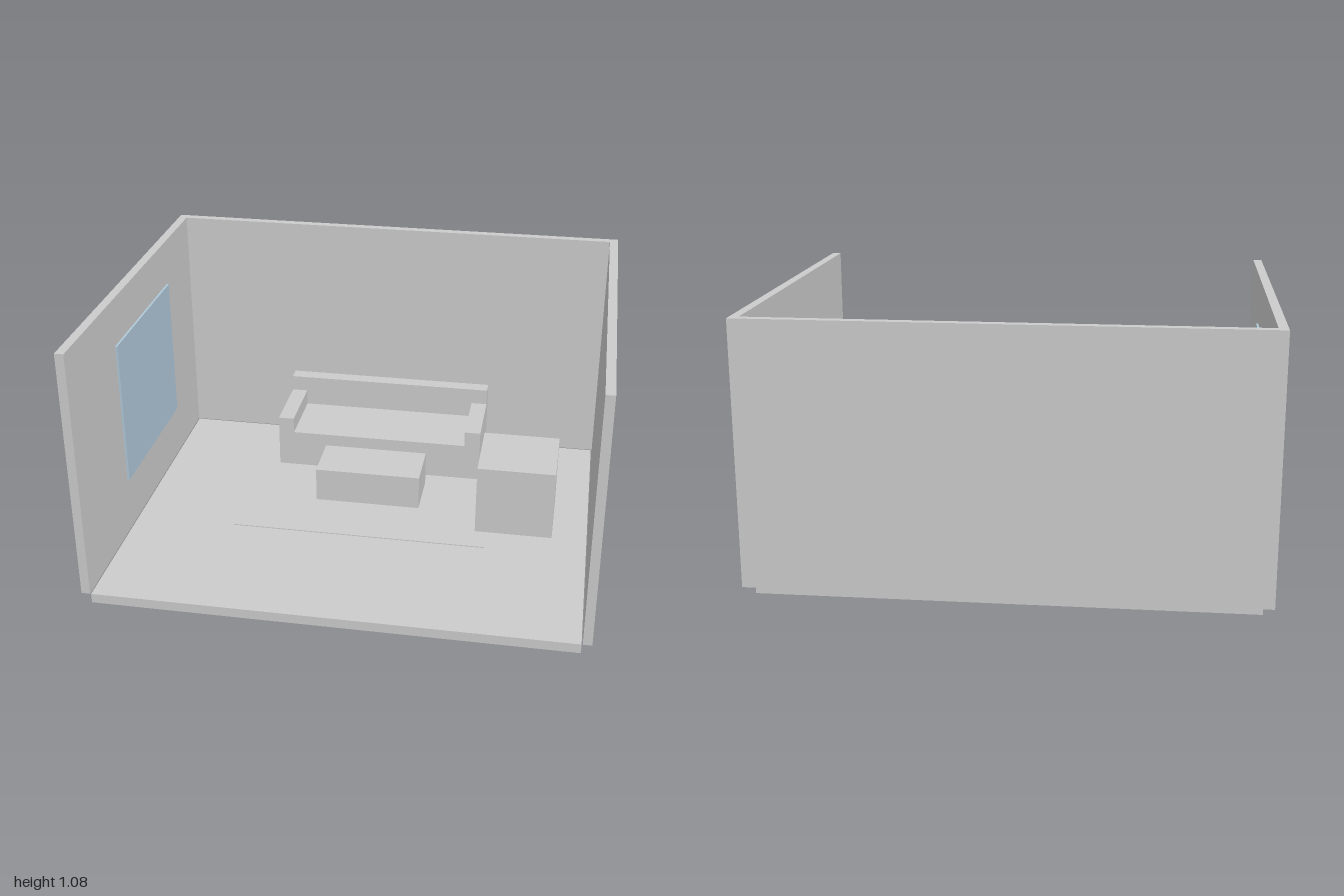
import * as THREE from 'three';

export function createModel() {
  const model = new THREE.Group();
  model.name = 'livingRoom';

  const plaster = new THREE.MeshStandardMaterial({ color: 0xcccccc, side: THREE.DoubleSide });
  plaster.name = 'light grey';
  const glass = new THREE.MeshStandardMaterial({ color: 0xb0c8d8 });
  glass.name = 'pale blue';

  const add = (name, geometry, material = plaster, parent = model) => {
    const mesh = new THREE.Mesh(geometry, material);
    mesh.name = name;
    parent.add(mesh);
    return mesh;
  };

  // Box given by its extents along each axis
  const box = (name, [x0, x1], [y0, y1], [z0, z1], material, parent) =>
    add(name, new THREE.BoxGeometry(x1 - x0, y1 - y0, z1 - z0), material, parent)
      .position.set((x0 + x1) / 2, (y0 + y1) / 2, (z0 + z1) / 2);

  // Outline in the xy plane, extruded along z from z0 to z1
  const extrude = (points, z0, z1) => {
    const shape = new THREE.Shape(points.map(([x, y]) => new THREE.Vector2(x, y)));
    return new THREE.ExtrudeGeometry(shape, { depth: z1 - z0, bevelEnabled: false }).translate(0, 0, z0);
  };

  const floorTop = 0.04;

  // Floor slab, slightly inside the walls
  box('floor', [-0.96, 0.96], [0, floorTop], [-0.747, 0.788]);

  // Back and side walls as one U-shaped plan, open to the front
  const plan = [
    [-1, -0.788], [-0.964, -0.788], [-0.964, 0.752], [0.964, 0.752],
    [0.964, -0.788], [1, -0.788], [1, 0.788], [-1, 0.788],
  ];
  add('walls', extrude(plan, floorTop, 1.08).rotateX(-Math.PI / 2));

  // Window pane on the right wall
  box('window', [-0.964, -0.955], [0.27, 0.887], [-0.405, 0.28], glass);

  // Sofa: seat and arms share one outline, with a taller backrest behind
  const sofa = new THREE.Group();
  sofa.name = 'sofa';
  model.add(sofa);
  const front = [
    [-0.464, floorTop], [0.461, floorTop], [0.461, 0.275], [0.391, 0.275],
    [0.391, 0.206], [-0.395, 0.206], [-0.395, 0.275], [-0.464, 0.275],
  ];
  add('seatAndArms', extrude(front, -0.68, -0.38), plaster, sofa);
  box('backrest', [-0.464, 0.461], [floorTop, 0.345], [-0.743, -0.68], plaster, sofa);

  // Coffee table and armchair blocks
  box('coffeeTable', [-0.23, 0.226], [floorTop, 0.19], [-0.31, -0.082]);
  box('armchair', [0.488, 0.814], [floorTop, 0.345], [-0.262, 0.064]);

  // Thin upright strip on the floor
  add('floorStrip', new THREE.PlaneGeometry(1.074, 0.004)).position.set(0, floorTop + 0.002, 0.19);

  return model;
}
